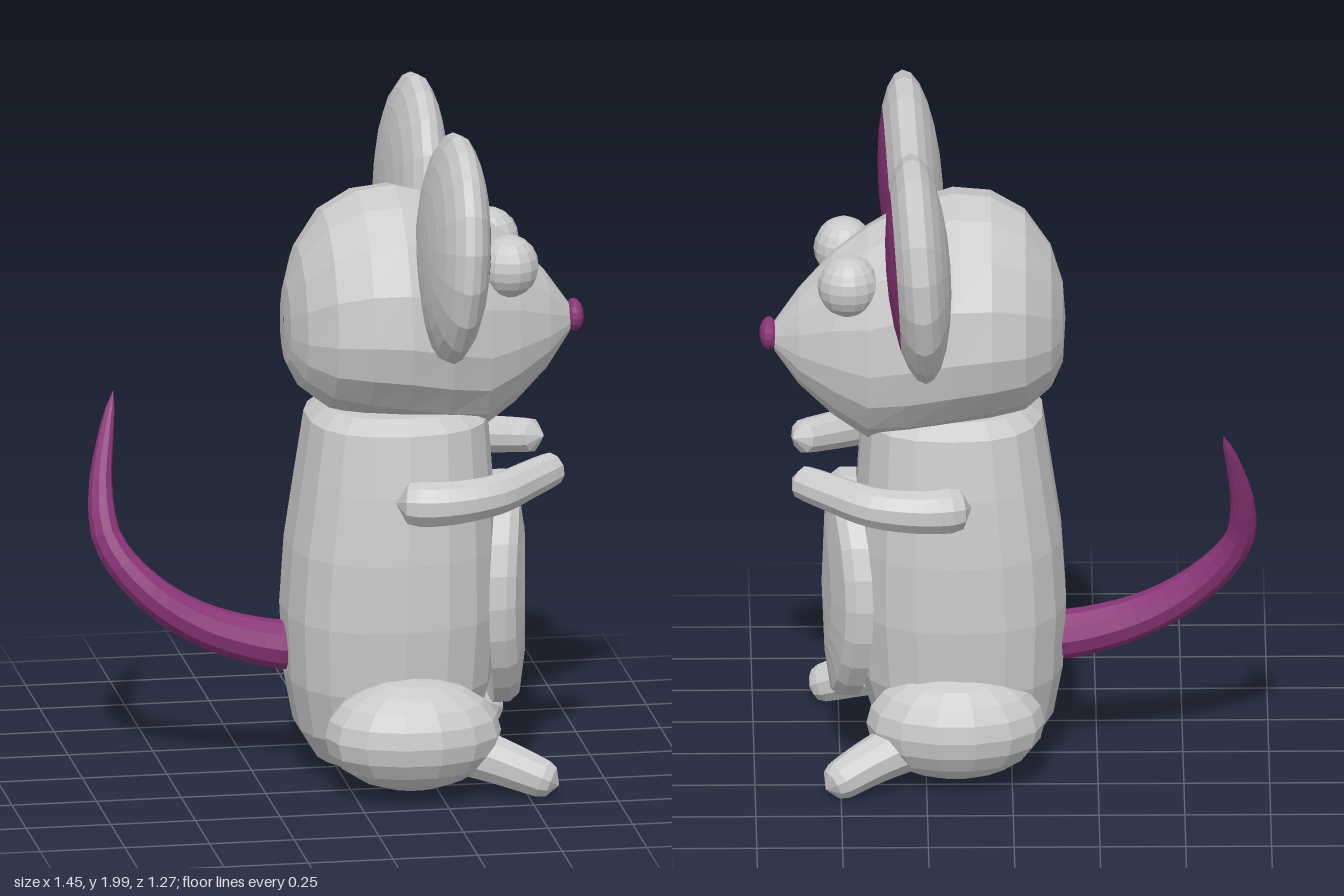
import * as THREE from 'three';

const grey = new THREE.MeshStandardMaterial({ color: 0xcacaca, flatShading: true });
grey.name = 'greyFur';
const plum = new THREE.MeshStandardMaterial({ color: 0x8a3577, flatShading: true });
plum.name = 'plumSkin';

// Skin a list of closed rings, ordered along the part's axis
function loft(rings) {
  const n = rings[0].length, pos = [], idx = [];
  rings.forEach(r => r.forEach(p => pos.push(p.x, p.y, p.z)));
  for (let i = 0; i < rings.length - 1; i++) {
    for (let j = 0; j < n; j++) {
      const a = i * n + j, b = i * n + (j + 1) % n;
      idx.push(a, b, a + n, b, b + n, a + n);
    }
  }
  let g = new THREE.BufferGeometry();
  g.setAttribute('position', new THREE.Float32BufferAttribute(pos, 3));
  g.setIndex(idx);
  g = g.toNonIndexed();
  g.computeVertexNormals();
  return g;
}

function ring(n, place) {
  return Array.from({ length: n }, (_, j) => {
    const t = (j / n) * Math.PI * 2;
    return place(Math.cos(t), Math.sin(t));
  });
}

// Round limb along a curve; radius runs from r0 to r1 with rounded ends
function limb(points, r0, r1, steps = 16, sides = 10, roundEnd = true) {
  const curve = new THREE.CatmullRomCurve3(points.map(p => new THREE.Vector3(...p)));
  const len = curve.getLength(), f = curve.computeFrenetFrames(steps);
  const rings = [];
  for (let i = 0; i <= steps; i++) {
    const u = i / steps, c = curve.getPointAt(u);
    let r = roundEnd ? r0 + (r1 - r0) * u : r0 * Math.pow(1 - u, 0.55);
    const s = Math.min(u, roundEnd ? 1 - u : 1) * len;
    if (s < r) r *= Math.sqrt(1 - (1 - s / r) ** 2);
    r = Math.max(r, 0.001);
    rings.push(ring(sides, (x, y) => c.clone().addScaledVector(f.normals[i], x * r).addScaledVector(f.binormals[i], y * r)));
  }
  return loft(rings);
}

export function createModel() {
  const model = new THREE.Group();
  const add = (name, geo, mat, parent = model) => {
    const m = new THREE.Mesh(geo, mat);
    m.name = name;
    parent.add(m);
    return m;
  };
  const ball = (name, mat, [x, y, z], [sx, sy, sz], w = 14, h = 10) => {
    const m = add(name, new THREE.SphereGeometry(1, w, h), mat);
    m.position.set(x, y, z);
    m.scale.set(sx, sy, sz);
    return m;
  };

  // Body: rounded-square sections as [y, centre x, radius x, radius z]
  const soft = v => Math.sign(v) * Math.pow(Math.abs(v), 0.82);
  const body = [
    [0.012, 0.13, 0.001, 0.001], [0.015, 0.13, 0.1, 0.1], [0.06, 0.13, 0.2, 0.2], [0.15, 0.14, 0.265, 0.27],
    [0.3, 0.147, 0.3, 0.315], [0.5, 0.15, 0.313, 0.33], [0.7, 0.155, 0.305, 0.325], [0.9, 0.165, 0.285, 0.305],
    [1.08, 0.172, 0.265, 0.275], [1.12, 0.172, 0.22, 0.22], [1.12, 0.172, 0.001, 0.001],
  ];
  add('body', loft(body.map(([y, cx, rx, rz]) =>
    ring(18, (c, s) => new THREE.Vector3(cx + rx * soft(s), y, 0.02 + rz * soft(c))))), grey);

  // Head: egg sections as [x, top, bottom, half width, centre z], tapering to the snout
  const head = [
    [-0.157, 1.38, 1.36, 0.005, 0], [-0.15, 1.48, 1.24, 0.1, 0], [-0.115, 1.59, 1.17, 0.2, 0],
    [-0.04, 1.695, 1.11, 0.29, 0], [0.06, 1.75, 1.085, 0.34, 0], [0.17, 1.762, 1.062, 0.345, -0.003],
    [0.3, 1.725, 1.035, 0.315, -0.008], [0.42, 1.66, 1.022, 0.255, -0.015], [0.52, 1.585, 1.09, 0.19, -0.02],
    [0.62, 1.475, 1.185, 0.115, -0.027], [0.69, 1.375, 1.285, 0.045, -0.03], [0.7, 1.34, 1.33, 0.003, -0.03],
  ];
  add('head', loft(head.map(([x, top, bottom, w, cz]) => {
    const mid = bottom + (top - bottom) * 0.42;
    return ring(16, (c, s) => new THREE.Vector3(x, mid + c * (c > 0 ? top - mid : mid - bottom), cz + w * s));
  })), grey);

  ball('nose', plum, [0.707, 1.337, -0.028], [0.028, 0.047, 0.06], 12, 8);
  ball('leftEye', grey, [0.477, 1.54, -0.17], [0.09, 0.092, 0.088]);
  ball('rightEye', grey, [0.487, 1.54, 0.135], [0.088, 0.092, 0.095]);

  // Ears: flattened balls whose front cap is coloured
  for (const [name, x, z] of [['leftEar', 0.275, -0.33], ['rightEar', 0.29, 0.33]]) {
    const ear = new THREE.Group();
    ear.name = name;
    ear.position.set(x, 1.657, z);
    ear.rotation.set(0, 0.03, -0.06);
    model.add(ear);
    const cap = 0.77;
    const parts = [
      add(name + 'Shell', new THREE.SphereGeometry(1, 18, 9, 0, Math.PI * 2, cap, Math.PI - cap), grey, ear),
      add(name + 'Inner', new THREE.SphereGeometry(1, 18, 3, 0, Math.PI * 2, 0, cap), plum, ear),
    ];
    for (const p of parts) {
      p.rotation.z = -Math.PI / 2;
      p.scale.set(0.342, 0.094, 0.308);
    }
  }

  // Belly plate: oval disc bent gently around the body
  const profile = [[0, 0], [1, 0], [1.0, 0.05], [0.94, 0.075], [0.6, 0.092], [0.001, 0.1]].map(p => new THREE.Vector2(...p));
  const belly = new THREE.LatheGeometry(profile, 22);
  belly.scale(0.346, 1, 0.264);
  belly.rotateZ(-Math.PI / 2);
  const bp = belly.attributes.position;
  for (let i = 0; i < bp.count; i++) bp.setX(i, bp.getX(i) - 0.7 * bp.getZ(i) ** 2);
  belly.translate(0.453, 0.54, 0.02);
  belly.computeVertexNormals();
  add('belly', belly, grey);

  // Arms bend inward at the elbow
  add('rightArm', limb([[0.12, 0.895, 0.34], [0.25, 0.895, 0.37], [0.4, 0.905, 0.345], [0.52, 0.92, 0.25], [0.635, 0.935, 0.15]], 0.072, 0.05), grey);
  add('leftArm', limb([[0.12, 0.895, -0.3], [0.25, 0.895, -0.335], [0.4, 0.905, -0.325], [0.52, 0.92, -0.25], [0.64, 0.935, -0.16]], 0.072, 0.05), grey);

  // Haunches and feet
  ball('rightThigh', grey, [0.17, 0.195, 0.34], [0.26, 0.165, 0.19], 14, 10);
  ball('leftThigh', grey, [0.165, 0.195, -0.23], [0.26, 0.165, 0.185], 14, 10);
  add('rightFoot', limb([[0.27, 0.16, 0.33], [0.42, 0.11, 0.38], [0.585, 0.045, 0.435]], 0.085, 0.055, 14), grey);
  add('leftFoot', limb([[0.25, 0.16, -0.25], [0.4, 0.11, -0.31], [0.545, 0.045, -0.38]], 0.085, 0.055, 14), grey);

  // Tail sweeps back, then curls up to a point
  add('tail', limb([[-0.06, 0.375, -0.005], [-0.2, 0.39, -0.01], [-0.4, 0.455, -0.02], [-0.56, 0.565, -0.04],
    [-0.66, 0.7, -0.085], [-0.673, 0.83, -0.14], [-0.65, 0.97, -0.2], [-0.615, 1.1, -0.265]], 0.076, 0, 22, 10, false), plum);

  return model;
}
